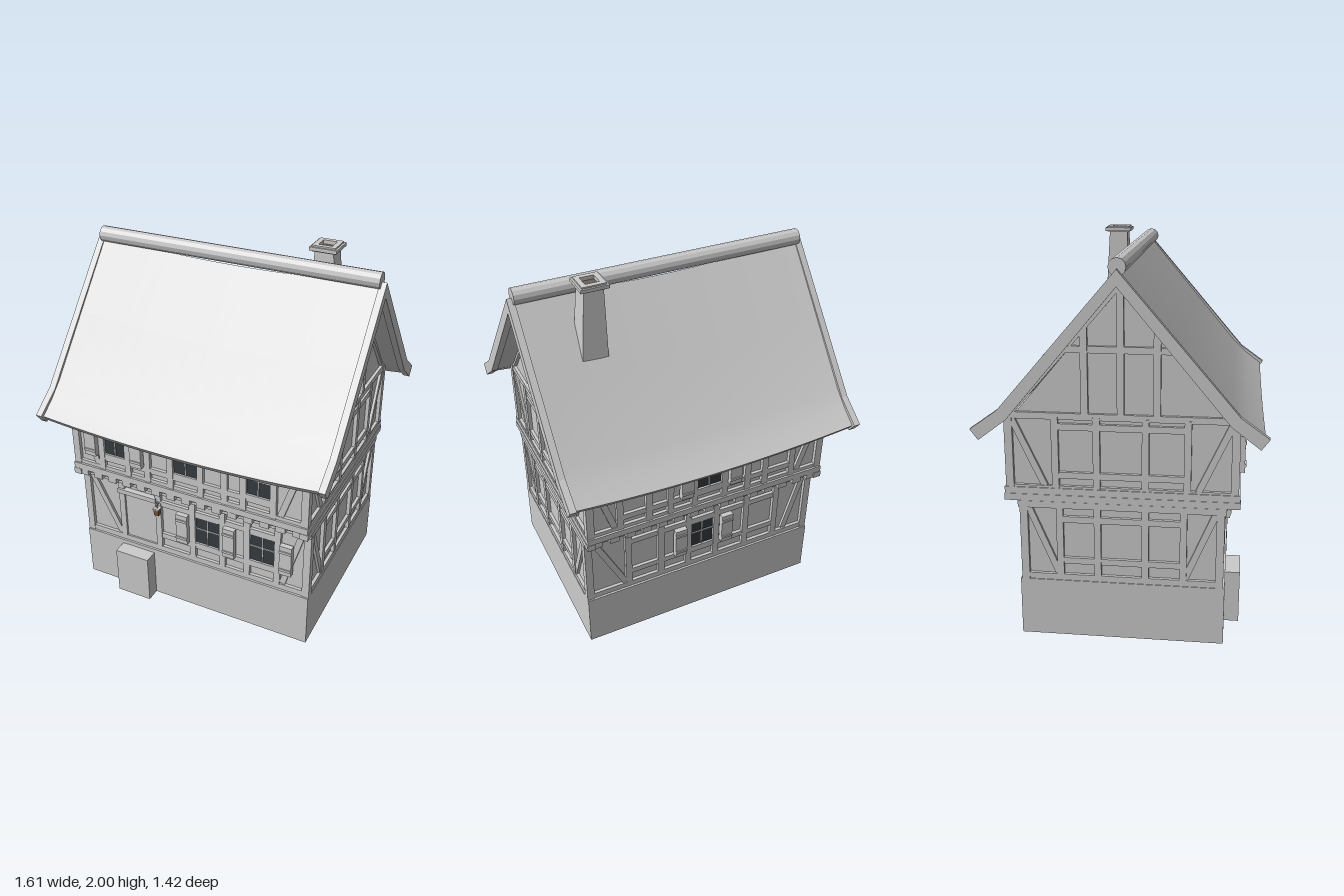
import * as THREE from 'three';
import { toCreasedNormals } from 'three/addons/utils/BufferGeometryUtils.js';

const mat = (color) => new THREE.MeshStandardMaterial({ color });
const grey = mat(0xcccccc), glass = mat(0x343c3f), soot = mat(0x6b5f55), brass = mat(0x7a5a38);

function add(parent, name, geometry, material = grey) {
  const mesh = new THREE.Mesh(geometry, material);
  mesh.name = name;
  parent.add(mesh);
  return mesh;
}

// Box given by its extents on each axis
function box(parent, name, x0, x1, y0, y1, z0, z1, material) {
  const mesh = add(parent, name, new THREE.BoxGeometry(x1 - x0, y1 - y0, z1 - z0), material);
  mesh.position.set((x0 + x1) / 2, (y0 + y1) / 2, (z0 + z1) / 2);
  return mesh;
}

// Group whose local z = 0 plane is the outer face of the timbers
function wall(root, name, angle, dist) {
  const g = new THREE.Group();
  g.name = name;
  g.rotation.y = angle;
  g.position.set(Math.sin(angle) * dist, 0, Math.cos(angle) * dist);
  root.add(g);
  return g;
}
const post = (g, u, y0, y1, w = 0.035) => box(g, 'post', u - w / 2, u + w / 2, y0, y1, -0.03, 0);
const rail = (g, y, u0, u1, h = 0.033) => box(g, 'rail', u0, u1, y - h / 2, y + h / 2, -0.03, -0.003);
function brace(g, u0, y0, u1, y1, w = 0.033) {
  const mesh = add(g, 'brace', new THREE.BoxGeometry(w, Math.hypot(u1 - u0, y1 - y0), 0.024));
  mesh.position.set((u0 + u1) / 2, (y0 + y1) / 2, -0.017);
  mesh.rotation.z = -Math.atan2(u1 - u0, y1 - y0);
}

// Four-pane window
function windowUnit(g, u, y0, y1, w = 0.14) {
  const h = w / 2, m = (y0 + y1) / 2 + 0.01;
  box(g, 'windowGlass', u - h, u + h, y0, y1, -0.03, -0.014, glass);
  box(g, 'mullion', u - 0.004, u + 0.004, y0, y1, -0.02, -0.008);
  box(g, 'glazingBar', u - h, u + h, m - 0.004, m + 0.004, -0.02, -0.008);
  for (const y of [y0, y1]) box(g, 'windowFrame', u - h, u + h, y - 0.008, y + 0.008, -0.03, -0.003);
}
function shutter(g, u, y0, y1, w = 0.068) {
  box(g, 'shutter', u - w / 2, u + w / 2, y0, y1, -0.005, 0.025);
  for (const y of [y0 + 0.035, y1 - 0.035]) box(g, 'shutterBatten', u - w / 2, u + w / 2, y - 0.007, y + 0.007, 0.02, 0.031);
}

// Corner posts, sill and head plate shared by all walls
function frame(g, half, y0, y1) {
  for (const s of [-1, 1]) post(g, s * (half - 0.02), y0, y1, 0.04);
  rail(g, y0 + 0.017, -half, half);
  rail(g, y1 - 0.017, -half, half);
}

function longWalls(root) {
  for (const front of [true, false]) {
    const angle = front ? 0 : Math.PI;
    // Ground floor
    const lo = wall(root, front ? 'frontGroundWall' : 'backGroundWall', angle, 0.512);
    frame(lo, 0.685, 0.31, 0.74);
    brace(lo, -0.46, 0.35, -0.63, 0.7);
    brace(lo, 0.53, 0.35, 0.63, 0.7);
    const posts = front ? [-0.44, -0.21, 0, 0.18, 0.325, 0.5] : [-0.44, -0.25, -0.085, 0.085, 0.27, 0.46];
    for (const u of posts) post(lo, u, 0.34, 0.71);
    const windows = front ? [0.088, 0.412] : [0];
    for (const u of windows) windowUnit(lo, u, 0.435, 0.62);
    const shutters = front ? [-0.053, 0.228, 0.555] : [-0.14, 0.14];
    for (const u of shutters) shutter(lo, u, 0.435, 0.62);
    for (const y of [0.42, 0.635]) rail(lo, y, front ? -0.21 : -0.44, front ? 0.5 : 0.46);
    if (front) {
      // Door, lintel and hanging lantern
      box(lo, 'door', -0.425, -0.225, 0.335, 0.63, -0.03, -0.012);
      box(lo, 'lintel', -0.46, -0.22, 0.638, 0.665, -0.03, 0.012);
      box(lo, 'lanternArm', -0.206, -0.198, 0.64, 0.648, -0.01, 0.035);
      box(lo, 'lanternRod', -0.206, -0.198, 0.62, 0.66, 0.016, 0.024);
      box(lo, 'lantern', -0.217, -0.189, 0.578, 0.615, 0.006, 0.034, brass);
      box(lo, 'lanternCap', -0.221, -0.185, 0.615, 0.622, 0.002, 0.038);
    }
    // Upper floor
    const up = wall(root, front ? 'frontUpperWall' : 'backUpperWall', angle, 0.575);
    frame(up, 0.685, 0.8, 1.16);
    for (const s of [-1, 1]) brace(up, s * 0.53, 0.82, s * 0.63, 1.13);
    for (const u of [-0.505, -0.345, -0.225, -0.088, 0.088, 0.225, 0.33, 0.495]) post(up, u, 0.81, 1.15);
    for (const y of [0.885, 1.1]) rail(up, y, -0.5, 0.5);
    for (const u of front ? [-0.425, 0, 0.41] : [0]) windowUnit(up, u, 0.905, 1.08);
    for (const u of front ? [-0.56, -0.28] : [-0.14, 0.14]) shutter(up, u, 0.9, 1.085);
    // Joist ends under the overhang
    for (let i = 0; i < 15; i++) {
      const u = -0.63 + i * 0.09;
      box(up, 'joistEnd', u - 0.025, u + 0.025, 0.74, 0.777, -0.08, 0.003);
    }
  }
}

function gableWalls(root) {
  for (const s of [1, -1]) {
    const g = wall(root, s > 0 ? 'leftGableWall' : 'rightGableWall', s * Math.PI / 2, 0.685);
    frame(g, 0.512, 0.31, 0.74);
    frame(g, 0.575, 0.79, 1.2);
    for (const m of [-1, 1]) {
      brace(g, m * 0.32, 0.35, m * 0.47, 0.71);
      brace(g, m * 0.38, 0.82, m * 0.54, 1.17);
      for (const u of [0.12, 0.325]) {
        post(g, m * Math.min(u, 0.31), 0.34, 0.72);
        post(g, m * u, 0.81, 1.18);
      }
      // Gable posts and rafters
      post(g, m * 0.175, 1.2, 1.63);
      brace(g, m * 0.55, 1.19, 0, 1.83, 0.035);
    }
    for (const y of [0.42, 0.645]) rail(g, y, -0.31, 0.31);
    for (const y of [0.88, 1.13]) rail(g, y, -0.325, 0.325);
    post(g, 0, 1.2, 1.81);
    rail(g, 1.515, -0.27, 0.27);
    // Triangular infill
    const tri = new THREE.Shape([[-0.545, 1.16], [0.545, 1.16], [0, 1.81]].map((p) => new THREE.Vector2(...p)));
    const infill = add(g, 'gableInfill', new THREE.ExtrudeGeometry(tri, { depth: 0.08, bevelEnabled: false }));
    infill.position.z = -0.1;
  }
}

// Folded strip along the x axis: outer line of one slope, with underside, mirrored
function slopes(outer, inner, x0, x1, steps) {
  const flip = (p) => [-p[0], p[1]];
  const pts = [...outer, ...inner.slice().reverse(), ...inner.slice(1).map(flip), ...outer.slice(1).reverse().map(flip)];
  const shape = new THREE.Shape(pts.map((p) => new THREE.Vector2(...p)));
  const geo = new THREE.ExtrudeGeometry(shape, { depth: x1 - x0, steps, bevelEnabled: false });
  return geo.rotateY(Math.PI / 2).translate(x0, 0, 0);
}

function roof(root) {
  // Thatch with a flared eave, sagging towards the middle
  const geo = slopes([[0, 1.9], [0.28, 1.567], [0.53, 1.27], [0.61, 1.195], [0.69, 1.135]],
    [[0, 1.845], [0.26, 1.535], [0.51, 1.238], [0.59, 1.163], [0.668, 1.105]], -0.775, 0.775, 16);
  const p = geo.attributes.position;
  for (let i = 0; i < p.count; i++) p.setY(i, p.getY(i) - 0.037 * (1 - (p.getX(i) / 0.775) ** 2));
  add(root, 'roof', toCreasedNormals(geo, 0.5));
  // Verge boards
  for (const x of [-0.805, 0.77]) {
    add(root, 'vergeBoard', slopes([[0, 1.908], [0.573, 1.24], [0.708, 1.143]],
      [[0, 1.83], [0.53, 1.195], [0.668, 1.09]], x, x + 0.035, 1));
  }
  // Ridge log
  const ridge = add(root, 'ridge', toCreasedNormals(new THREE.CylinderGeometry(0.042, 0.042, 1.56, 12), 0.3));
  ridge.rotation.z = Math.PI / 2;
  ridge.position.y = 1.915;
}

function squareRing(half, hole, depth) {
  const sq = (c, h) => c.moveTo(-h, -h).lineTo(h, -h).lineTo(h, h).lineTo(-h, h).closePath();
  const shape = sq(new THREE.Shape(), half);
  shape.holes.push(sq(new THREE.Path(), hole));
  return new THREE.ExtrudeGeometry(shape, { depth, bevelEnabled: false }).rotateX(-Math.PI / 2);
}

function chimney(root) {
  const g = new THREE.Group();
  g.name = 'chimney';
  g.position.set(0.445, 0, -0.152);
  root.add(g);
  // Tapered shaft, leaning slightly at its foot
  const geo = new THREE.BoxGeometry(0.1, 0.36, 0.1);
  const p = geo.attributes.position;
  for (let i = 0; i < p.count; i++) {
    if (p.getY(i) < 0) p.setXYZ(i, p.getX(i) * 1.35 + 0.015, p.getY(i), p.getZ(i) * 1.3 - 0.006);
  }
  geo.computeVertexNormals();
  add(g, 'chimneyShaft', geo).position.y = 1.79;
  add(g, 'chimneyCap', squareRing(0.072, 0.036, 0.018)).position.y = 1.974;
  add(g, 'chimneyRim', squareRing(0.062, 0.036, 0.032)).position.y = 1.968;
  box(g, 'flue', -0.037, 0.037, 1.96, 1.98, -0.037, 0.037, soot);
}

export function createModel() {
  const root = new THREE.Group();
  root.name = 'timberFramedHouse';
  // Stone base and doorstep
  box(root, 'base', -0.685, 0.685, 0, 0.31, -0.52, 0.52);
  box(root, 'doorstep', -0.45, -0.245, 0, 0.285, 0.5, 0.597);
  // Plaster cores of both floors
  box(root, 'groundFloor', -0.665, 0.665, 0.3, 0.76, -0.492, 0.492);
  box(root, 'upperFloor', -0.665, 0.665, 0.75, 1.165, -0.555, 0.555);
  // Beams around the overhang
  box(root, 'headBeam', -0.687, 0.687, 0.705, 0.74, -0.52, 0.52);
  box(root, 'floorBeam', -0.687, 0.687, 0.776, 0.812, -0.583, 0.583);
  for (const s of [-1, 1]) box(root, 'sideBeam', s * 0.668 - 0.022, s * 0.668 + 0.022, 0.742, 0.777, -0.585, 0.585);
  longWalls(root);
  gableWalls(root);
  roof(root);
  chimney(root);
  return root;
}
